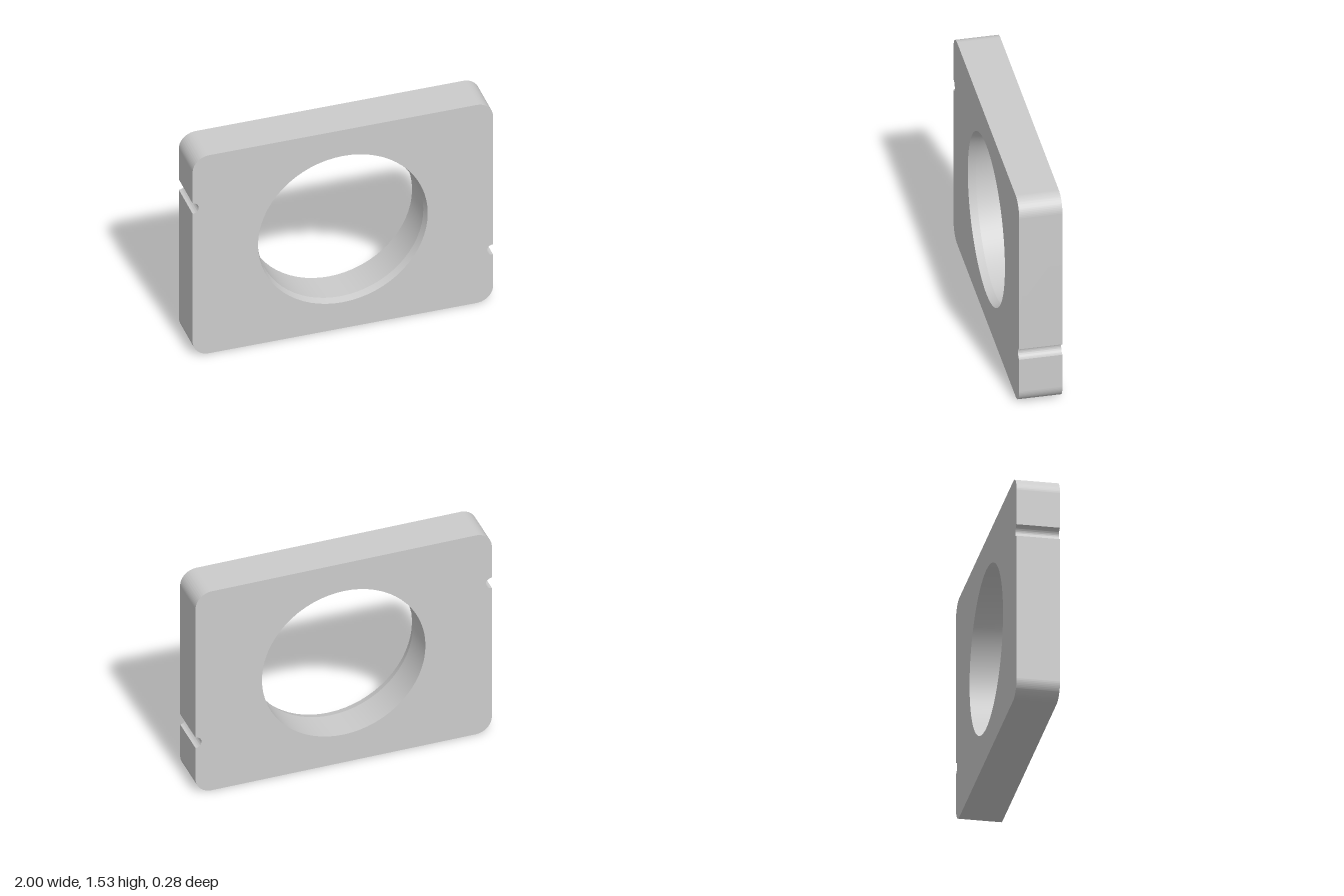
import * as THREE from 'three';
import { toCreasedNormals } from 'three/addons/utils/BufferGeometryUtils.js';

const HALF_W = 1, HEIGHT = 1.53, DEPTH = 0.28, CORNER = 0.11;
const NOTCH_R = 0.04, NOTCH_Y = 0.39;
const HOLE_R = 0.552, RIM_R = 0.565, RIM_DEPTH = 0.05;

// Rounded rectangle with a half-round notch in each side, and a round opening
function plateShape() {
  const w = HALF_W, h = HEIGHT / 2, c = CORNER, n = h - NOTCH_Y, q = Math.PI / 2;
  const shape = new THREE.Shape();
  shape.moveTo(-w + c, -h);
  shape.lineTo(w - c, -h);
  shape.absarc(w - c, -h + c, c, -q, 0, false);
  shape.lineTo(w, -n - NOTCH_R);
  shape.absarc(w, -n, NOTCH_R, -q, -3 * q, true);
  shape.lineTo(w, h - c);
  shape.absarc(w - c, h - c, c, 0, q, false);
  shape.lineTo(-w + c, h);
  shape.absarc(-w + c, h - c, c, q, 2 * q, false);
  shape.lineTo(-w, n + NOTCH_R);
  shape.absarc(-w, n, NOTCH_R, q, -q, true);
  shape.lineTo(-w, -h + c);
  shape.absarc(-w + c, -h + c, c, 2 * q, 3 * q, false);
  const hole = new THREE.Path();
  hole.absarc(0, 0, HOLE_R, 0, Math.PI * 2, true);
  shape.holes.push(hole);
  return shape;
}

export function createModel() {
  const geometry = new THREE.ExtrudeGeometry(plateShape(), {
    depth: DEPTH, steps: 2, curveSegments: 32, bevelEnabled: false,
  });
  geometry.translate(0, 0, -DEPTH / 2);

  // Widen the front rim of the opening into a slight lead-in chamfer
  const pos = geometry.attributes.position;
  for (let i = 0; i < pos.count; i++) {
    const x = pos.getX(i), y = pos.getY(i), z = pos.getZ(i);
    if (Math.abs(z) < 0.01) pos.setZ(i, DEPTH / 2 - RIM_DEPTH);
    if (z > 0.1 && Math.hypot(x, y) < HOLE_R + 0.005) {
      const s = RIM_R / HOLE_R;
      pos.setXY(i, x * s, y * s);
    }
  }

  const plate = new THREE.Mesh(
    toCreasedNormals(geometry, 0.2),
    new THREE.MeshStandardMaterial({ color: 0xcccccc }),
  );
  plate.name = 'notchedPlate';
  plate.position.y = HEIGHT / 2;

  const model = new THREE.Group();
  model.name = 'plateWithRoundOpening';
  model.add(plate);
  return model;
}
